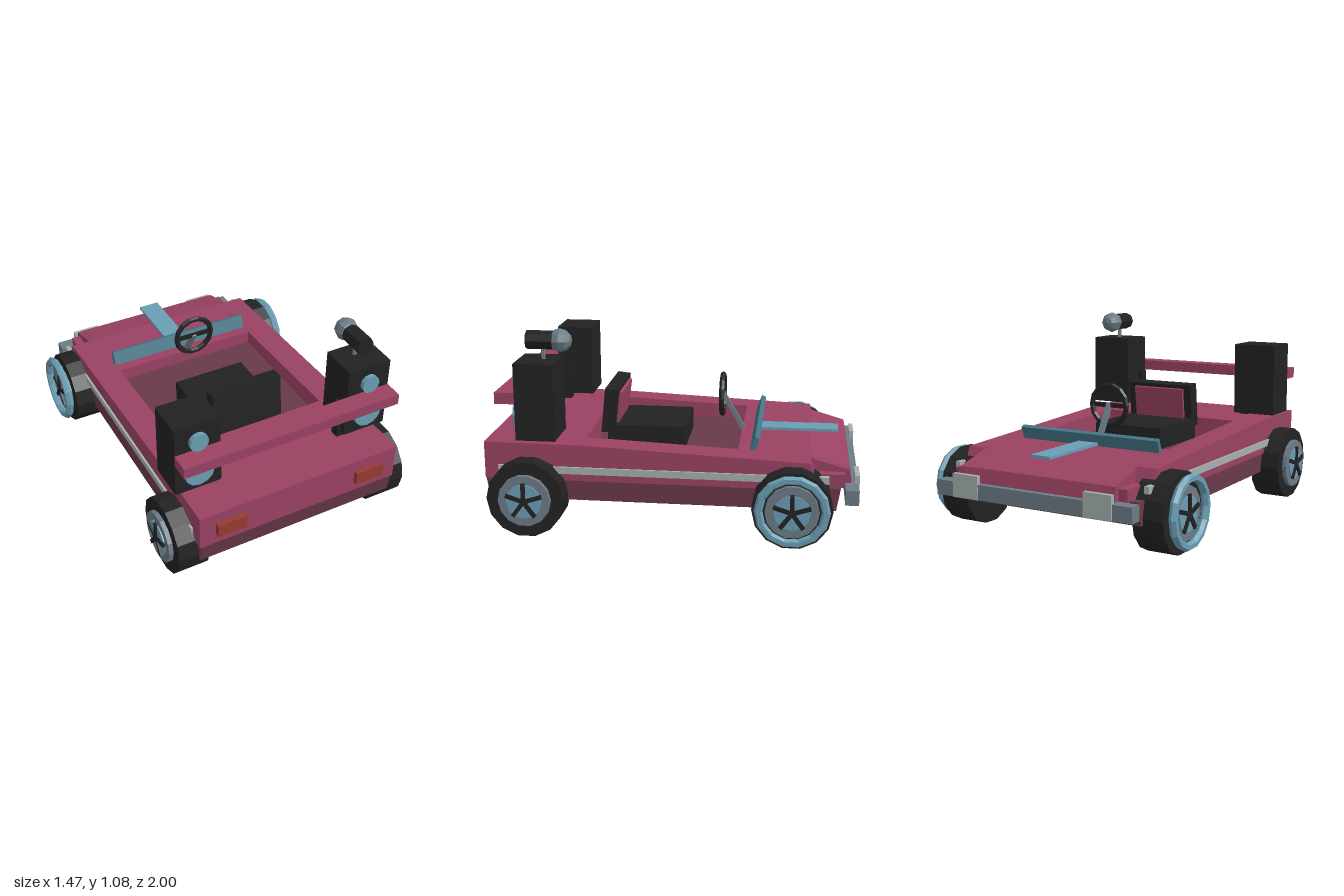
import * as THREE from 'three';

const mat = (name, color) => {
  const m = new THREE.MeshStandardMaterial({ color, flatShading: true });
  m.name = name;
  return m;
};

export function createModel() {
  const model = new THREE.Group();
  model.name = 'openBuggy';
  const paint = mat('raspberryPaint', 0x9a4263);
  const dark = mat('darkRaspberry', 0x693949);
  const black = mat('black', 0x222222);
  const blue = mat('lightBlue', 0x6a9db3);
  const teal = mat('tealGlass', 0x447586);
  const grey = mat('slateGrey', 0x6c7b85);
  const pale = mat('paleTrim', 0xa5b0af);
  const red = mat('tailRed', 0x963a31);

  const add = (name, geo, material, x = 0, y = 0, z = 0, parent = model) => {
    const m = new THREE.Mesh(geo, material);
    m.name = name;
    m.position.set(x, y, z);
    parent.add(m);
    return m;
  };
  // Box given by its extents
  const box = (name, material, x0, x1, y0, y1, z0, z1) =>
    add(name, new THREE.BoxGeometry(Math.abs(x1 - x0), y1 - y0, z1 - z0), material,
      (x0 + x1) / 2, (y0 + y1) / 2, (z0 + z1) / 2);
  // Side profile of [z, y] points, extruded across x
  const prism = (name, material, x0, x1, pts) => {
    const shape = new THREE.Shape(pts.map(p => new THREE.Vector2(p[0], p[1])));
    const geo = new THREE.ExtrudeGeometry(shape, { depth: Math.abs(x1 - x0), bevelEnabled: false });
    geo.rotateY(-Math.PI / 2);
    return add(name, geo, material, Math.max(x0, x1));
  };
  // Cylinder lying along x or z
  const disc = (r, len, sides, axis) => {
    const g = new THREE.CylinderGeometry(r, r, len, sides);
    return axis === 'x' ? g.rotateZ(-Math.PI / 2) : g.rotateX(Math.PI / 2);
  };

  // Lower hull and cockpit floor
  prism('lowerHull', dark, -0.57, 0.57, [[0.955, 0.18], [0.975, 0.29], [-0.9, 0.3], [-0.88, 0.18]]);
  box('cockpitFloor', dark, -0.43, 0.43, 0.28, 0.375, -0.37, 0.47);

  // Upper body
  prism('rearDeck', paint, -0.43, 0.43, [[0.975, 0.29], [0.975, 0.49], [0.455, 0.485], [0.455, 0.29]]);
  prism('hood', paint, -0.44, 0.44,
    [[-0.36, 0.29], [-0.36, 0.45], [-0.74, 0.435], [-0.945, 0.375], [-0.96, 0.3]]);
  prism('hoodNose', paint, -0.47, 0.47, [[-0.74, 0.29], [-0.74, 0.433], [-0.945, 0.373], [-0.955, 0.3]]);
  box('noseCorners', paint, -0.52, 0.52, 0.29, 0.36, -0.92, -0.7);

  // Bumpers, hood stripe and windscreen
  box('frontBumper', grey, -0.59, 0.59, 0.22, 0.3, -0.995, -0.925);
  box('hoodStripe', blue, -0.06, 0.06, 0.452, 0.467, -0.895, -0.45);
  prism('windscreen', teal, -0.43, 0.43, [[-0.415, 0.43], [-0.45, 0.522], [-0.475, 0.512], [-0.445, 0.43]]);
  box('rearBar', paint, -0.62, 0.62, 0.71, 0.77, 0.79, 0.895);

  // One wheel, outward along +x before mirroring
  const makeWheel = (name, s, z, ring) => {
    const w = new THREE.Group();
    w.name = name;
    w.position.set(0, 0.21, z);
    model.add(w);
    add('tyre', disc(0.208, 0.17, 14, 'x'), black, s * 0.594, 0, 0, w);
    add('rim', disc(0.14, 0.03, 14, 'x'), grey, s * 0.688, 0, 0, w);
    add('hubDisc', disc(0.095, 0.02, 12, 'x'), blue, s * 0.7, 0, 0, w);
    for (let i = 0; i < 5; i++) {
      const spoke = new THREE.BoxGeometry(0.014, 0.1, 0.022);
      spoke.translate(0, 0.05, 0);
      spoke.rotateX(i * Math.PI * 2 / 5);
      add('spoke', spoke, black, s * 0.713, 0, 0, w);
    }
    if (ring) {
      const torus = new THREE.TorusGeometry(0.172, 0.023, 6, 14);
      torus.rotateY(Math.PI / 2);
      add('wheelRing', torus, blue, s * 0.716, 0.01, 0, w);
    }
  };

  // Mirrored parts
  for (const s of [-1, 1]) {
    const side = s > 0 ? 'left' : 'right';
    prism(side + 'SideRail', paint, s * 0.43, s * 0.58,
      [[0.975, 0.29], [0.975, 0.49], [0.46, 0.487], [-0.74, 0.435], [-0.765, 0.37], [-0.78, 0.29]]);
    box(side + 'SideStripe', pale, s * 0.565, s * 0.592, 0.33, 0.367, -0.84, 0.9);
    box(side + 'HeadlightPlate', pale, s * 0.32, s * 0.48, 0.22, 0.345, -1, -0.975);
    box(side + 'TailLight', red, s * 0.325, s * 0.49, 0.35, 0.425, 0.97, 1);
    box(side + 'SpeakerPost', black, s * 0.347, s * 0.4, 0.47, 0.71, 0.71, 0.76);
    box(side + 'SpeakerBox', black, s * 0.37, s * 0.62, 0.515, 0.925, 0.58, 0.79);
    add(side + 'Woofer', disc(0.081, 0.03, 12, 'z'), blue, s * 0.495, 0.635, 0.8);
    add(side + 'Tweeter', disc(0.051, 0.03, 12, 'z'), blue, s * 0.495, 0.825, 0.8);
    makeWheel(side + 'FrontWheel', s, -0.655, true);
    makeWheel(side + 'RearWheel', s, 0.737, false);
  }

  // Seat
  box('seatCushion', black, -0.21, 0.21, 0.37, 0.495, -0.055, 0.38);
  prism('seatBack', black, -0.207, 0.207, [[0.418, 0.45], [0.392, 0.7], [0.318, 0.692], [0.345, 0.45]]);
  prism('seatBackPanel', paint, -0.16, 0.16, [[0.345, 0.48], [0.325, 0.672], [0.302, 0.668], [0.328, 0.48]]);

  // Steering wheel and column
  add('steeringWheel', new THREE.TorusGeometry(0.11, 0.016, 6, 14), black, 0, 0.637, -0.245);
  box('steeringHub', black, -0.1, 0.1, 0.625, 0.65, -0.252, -0.24);
  const column = add('steeringColumn', new THREE.BoxGeometry(0.026, 0.24, 0.026), grey, 0, 0.54, -0.305);
  column.rotation.x = 0.53;

  // Microphone on top of the left speaker
  add('microphoneStand', new THREE.CylinderGeometry(0.012, 0.012, 0.1, 6), grey, 0.485, 0.96, 0.66);
  add('microphoneHandle', disc(0.05, 0.19, 8, 'z'), black, 0.485, 1.026, 0.65);
  add('microphoneHead', new THREE.SphereGeometry(0.063, 8, 6).rotateX(Math.PI / 2), grey, 0.485, 1.026, 0.568);

  return model;
}
